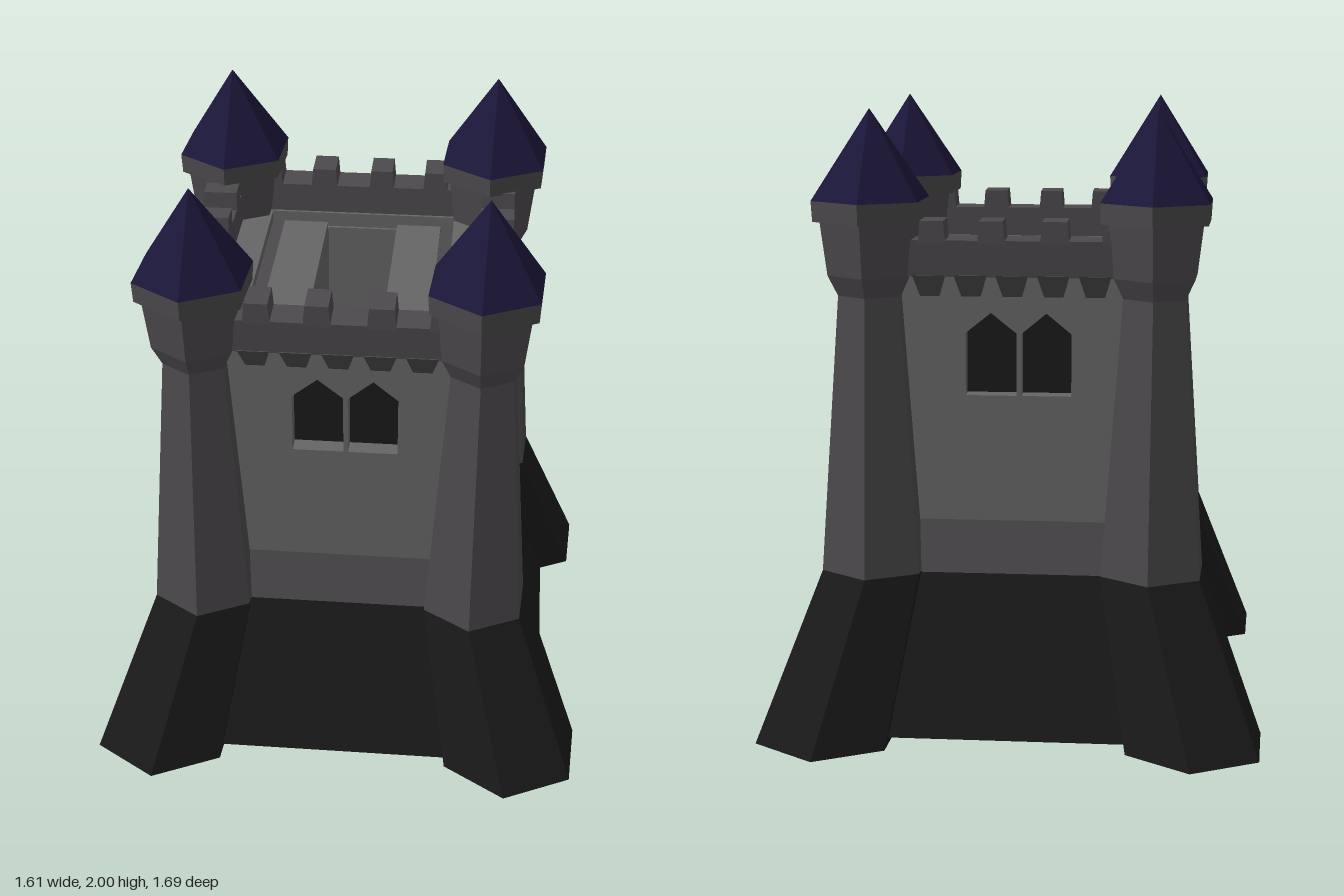
import * as THREE from 'three';

const mat = (color) => new THREE.MeshStandardMaterial({ color, flatShading: true });
const wallMat = mat(0x666666), trimMat = mat(0x4d4a4d), darkMat = mat(0x1a1a1a), roofMat = mat(0x1b173a);

function add(parent, name, geometry, material) {
  const mesh = new THREE.Mesh(geometry, material);
  mesh.name = name;
  parent.add(mesh);
  return mesh;
}

const polygon = (pts) => new THREE.Shape(pts.map(([x, y]) => new THREE.Vector2(x, y)));

// Constant cross-section (distance outward, height) run along the wall
function prism(profile, length) {
  const g = new THREE.ExtrudeGeometry(polygon(profile), { depth: length, bevelEnabled: false });
  return g.rotateY(-Math.PI / 2).translate(length / 2, 0, 0);
}

function box(x0, x1, y0, y1, z0, z1) {
  return new THREE.BoxGeometry(x1 - x0, y1 - y0, z1 - z0)
    .translate((x0 + x1) / 2, (y0 + y1) / 2, (z0 + z1) / 2);
}

// Six-sided tower segment; the bottom ring may be shifted outward
function hex(y0, r0, y1, r1, dx = 0, dz = 0) {
  const g = new THREE.CylinderGeometry(r1, r0, y1 - y0, 6, 1, false, -0.06);
  g.translate(0, (y0 + y1) / 2, 0);
  const p = g.attributes.position;
  for (let i = 0; i < p.count; i++) {
    if (p.getY(i) < (y0 + y1) / 2) p.setXYZ(i, p.getX(i) + dx, p.getY(i), p.getZ(i) + dz);
  }
  return g;
}

function makeTower(sx, sz) {
  const tower = new THREE.Group();
  tower.name = 'tower';
  tower.position.set(sx * 0.447, 0, sz * 0.455);
  add(tower, 'towerFoot', hex(0, 0.243, 0.53, 0.182, sx * 0.143, sz * 0.147), darkMat);
  add(tower, 'towerShaft', hex(0.53, 0.182, 1.42, 0.112), trimMat);
  add(tower, 'towerFlare', hex(1.42, 0.112, 1.485, 0.145), trimMat);
  add(tower, 'towerHead', hex(1.485, 0.145, 1.655, 0.167), trimMat);
  add(tower, 'towerCollar', hex(1.655, 0.19, 1.72, 0.194), trimMat);
  add(tower, 'towerRoof', hex(1.72, 0.194, 2, 0), roofMat);
  return tower;
}

// Opening with a pointed head
const pointed = (x0, x1, y0, y1, peak) =>
  [[x0, y0], [x1, y0], [x1, y1], [(x0 + x1) / 2, peak], [x0, y1]];

// One side of the keep, built facing +z and then turned into place
function makeSide(name, angle, o) {
  const side = new THREE.Group();
  side.name = name;
  side.rotation.y = angle;
  const { face, depth, foot, skirtTop, top } = o;
  const inner = face - depth;

  // Wall with recessed openings and dark panels behind them
  const shape = polygon([[-0.45, 0.52], [0.45, 0.52], [0.45, 1.5], [-0.45, 1.5]]);
  for (const h of o.openings) shape.holes.push(new THREE.Path(h.map(([x, y]) => new THREE.Vector2(x, y))));
  add(side, 'wall', new THREE.ExtrudeGeometry(shape, { depth, bevelEnabled: false }).translate(0, 0, inner), wallMat);
  for (const h of o.openings) {
    add(side, 'openingPanel', new THREE.ShapeGeometry(polygon(h)).translate(0, 0, inner + 0.004), darkMat);
  }
  add(side, 'wallBacking', box(-0.4, 0.4, 0.53, 1.45, inner - 0.01, inner), wallMat);

  // Sloping skirt and optional sloping plinth band
  add(side, 'skirt', prism([[inner, 0.03], [foot, 0.03], [skirtTop, 0.525], [inner, 0.525]], 0.9), darkMat);
  if (o.band) {
    add(side, 'plinthBand', prism([[face - 0.02, 0.52], [skirtTop, 0.525], [face, 0.69], [face - 0.02, 0.69]], 0.84), trimMat);
  }

  // Parapet, merlons and corbels
  add(side, 'parapet', prism([[top - 0.11, 1.4], [face - 0.01, 1.4], [face - 0.01, 1.485], [top - 0.01, 1.485],
    [top, 1.6], [top - 0.11, 1.6]], 0.82), trimMat);
  for (const [a, b] of [[-0.29, -0.205], [-0.105, -0.02], [0.09, 0.18], [0.28, 0.34]]) {
    const merlon = polygon([[a, 1.59], [b, 1.59], [b - 0.006, 1.66], [a + 0.006, 1.66]]);
    add(side, 'merlon', new THREE.ExtrudeGeometry(merlon, { depth: 0.11, bevelEnabled: false })
      .translate(0, 0, top - 0.11), trimMat);
  }
  for (let i = -2; i <= 2; i++) {
    const u = i * 0.13;
    const g = new THREE.BoxGeometry(0.1, 0.07, top - face + 0.01);
    g.translate(u, 1.455, (top + face) / 2 - 0.01);
    const p = g.attributes.position;
    for (let k = 0; k < p.count; k++) {
      if (p.getY(k) > 1.455) continue;
      p.setX(k, u + (p.getX(k) - u) * 0.6);
      if (p.getZ(k) > face) p.setZ(k, face + 0.02);
    }
    add(side, 'corbel', g, trimMat);
  }
  return side;
}

export function createModel() {
  const castle = new THREE.Group();
  castle.name = 'castle';

  for (const sx of [-1, 1]) for (const sz of [-1, 1]) castle.add(makeTower(sx, sz));

  const windowSide = {
    face: 0.47, depth: 0.06, foot: 0.7, skirtTop: 0.515, top: 0.53, band: true,
    openings: [pointed(-0.15, 0.012, 1.1, 1.3, 1.365), pointed(0.028, 0.185, 1.1, 1.3, 1.365)],
  };
  const doorSide = {
    face: 0.465, depth: 0.15, foot: 0.69, skirtTop: 0.475, top: 0.52, band: false,
    openings: [
      pointed(-0.13, 0.09, 1.1, 1.31, 1.37),
      [[-0.21, 0.53], [0.17, 0.53], [0.17, 0.88], [0.1, 0.965], [-0.02, 1.02], [-0.13, 0.965], [-0.21, 0.88]],
    ],
  };
  castle.add(makeSide('frontSide', 0, windowSide), makeSide('backSide', Math.PI, windowSide));
  castle.add(makeSide('leftSide', Math.PI / 2, doorSide), makeSide('rightSide', -Math.PI / 2, doorSide));

  // Inner blocks either side of the open central slot
  for (const s of [-1, 1]) {
    const span = (a, b) => (s > 0 ? [a, b] : [-b, -a]);
    add(castle, 'innerBlock', box(...span(0.12, 0.305), 0.05, 1.45, -0.41, 0.41), wallMat);
    add(castle, 'innerDeck', box(...span(0.12, 0.27), 1.44, 1.48, -0.38, 0.38), wallMat);
    add(castle, 'wallWalk', box(...span(0.26, 0.43), 1.4, 1.465, -0.43, 0.43), trimMat);
    add(castle, 'floor', box(...span(0.12, 0.5), 0.035, 0.06, -0.5, 0.5), darkMat);
  }
  return castle;
}
